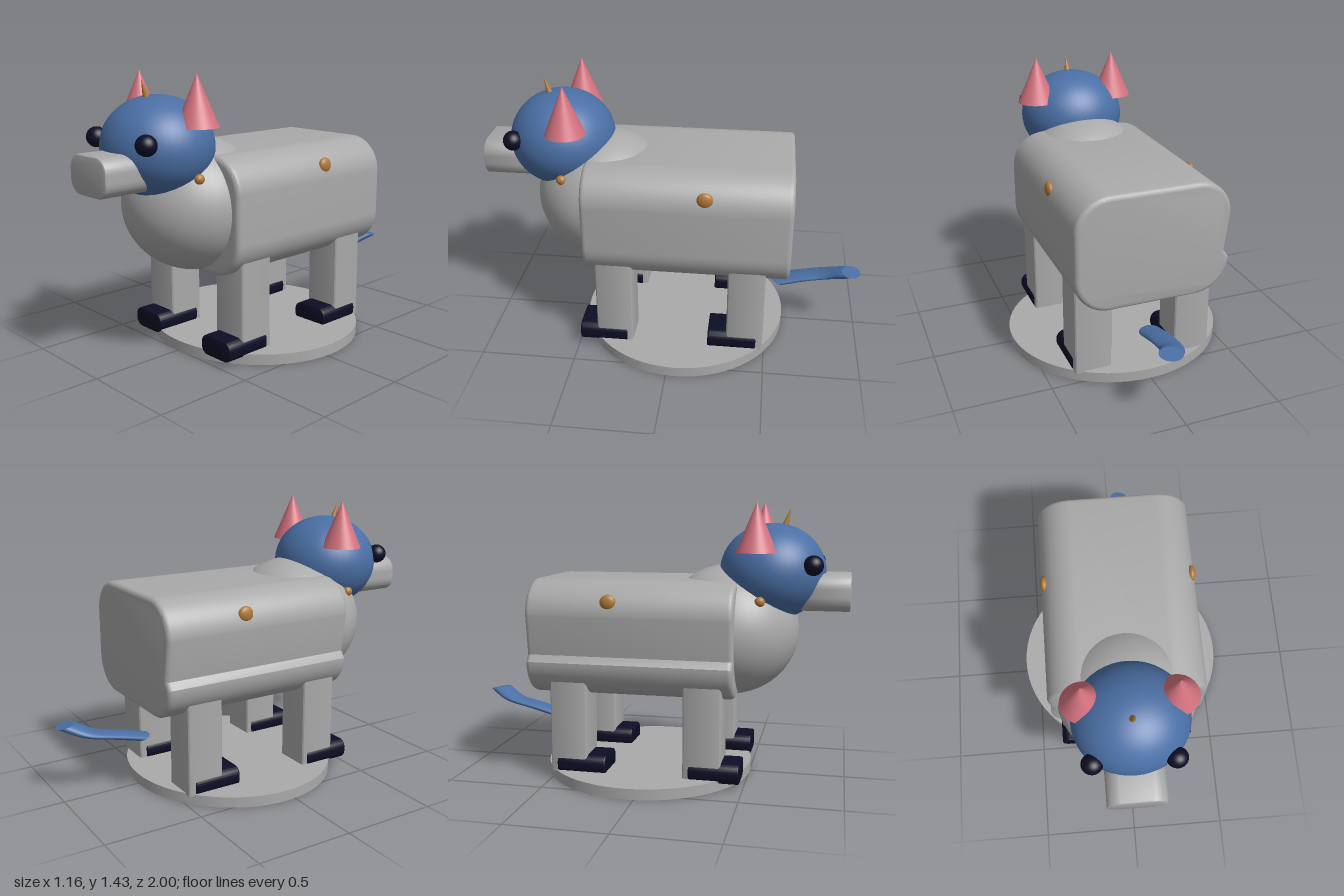
import * as THREE from 'three';
import { toCreasedNormals } from 'three/addons/utils/BufferGeometryUtils.js';

const mat = (name, color) => {
  const m = new THREE.MeshStandardMaterial({ color });
  m.name = name;
  return m;
};

// Rounded rectangle centred on the origin
function roundedRect(w, h, r) {
  const x = w / 2, y = h / 2, s = new THREE.Shape();
  s.moveTo(-x + r, -y);
  s.lineTo(x - r, -y);
  s.absarc(x - r, -y + r, r, -Math.PI / 2, 0);
  s.absarc(x - r, y - r, r, 0, Math.PI / 2);
  s.absarc(-x + r, y - r, r, Math.PI / 2, Math.PI);
  s.absarc(-x + r, -y + r, r, Math.PI, Math.PI * 1.5);
  return s;
}

// Extrusion centred on z, bevel kept inside the outline and depth
function prism(shape, depth, bevel) {
  const g = new THREE.ExtrudeGeometry(shape, {
    depth: depth - 2 * bevel, curveSegments: 12, bevelEnabled: bevel > 0,
    bevelThickness: bevel, bevelSize: bevel, bevelOffset: -bevel, bevelSegments: 4,
  });
  g.translate(0, 0, bevel - depth / 2);
  return toCreasedNormals(g, 0.6);
}

export function createModel() {
  const group = new THREE.Group();
  const gray = mat('gray', 0xaaaaaa);
  const blue = mat('blue', 0x4a6fa5);
  const pink = mat('pink', 0xd4727f);
  const brown = mat('brown', 0xb07a3a);
  const dark = mat('dark navy', 0x0d0d26);

  const add = (name, geometry, material, x, y, z) => {
    const m = new THREE.Mesh(geometry, material);
    m.name = name;
    m.position.set(x, y, z);
    group.add(m);
    return m;
  };
  const ball = (name, material, x, y, z, rx, ry, rz) => {
    const m = add(name, new THREE.SphereGeometry(1, 48, 32), material, x, y, z);
    m.scale.set(rx, ry, rz);
    return m;
  };

  // Base disc, slightly oval
  const base = add('base', new THREE.CylinderGeometry(0.578, 0.578, 0.055, 64), gray, 0, 0.0275, -0.045);
  base.scale.z = 0.95;

  // Body: rounded barrel with a lip along its right flank
  const W = 0.405, B = 0.445, T = 1.04, r = 0.18;
  const body = new THREE.Shape();
  body.moveTo(-W + r, B);
  body.lineTo(W - r, B);
  body.absarc(W - r, B + r, r, -Math.PI / 2, 0);
  body.absarc(W - r, T - r, r, 0, Math.PI / 2);
  body.absarc(-W + r, T - r, r, Math.PI / 2, Math.PI);
  body.lineTo(-0.378, 0.66);
  body.lineTo(-W, B + r);
  body.absarc(-W + r, B + r, r, Math.PI, Math.PI * 1.5);
  add('body', prism(body, 1.06, 0.025), gray, 0, 0, -0.08);

  // Chest and head
  ball('chest', gray, 0, 0.771, 0.385, 0.367, 0.341, 0.36);
  ball('head', blue, 0, 1.077, 0.603, 0.288, 0.248, 0.272);
  add('snout', prism(roundedRect(0.29, 0.19, 0.075), 0.3, 0.008), gray, 0, 0.98, 0.85);

  // Horn, leaning forward
  const horn = add('horn', new THREE.ConeGeometry(0.02, 0.11, 24), brown, 0, 1.348, 0.673);
  horn.rotation.x = 0.3;

  for (const s of [-1, 1]) {
    ball('eye', dark, s * 0.197, 1.122, 0.815, 0.053, 0.05, 0.05);
    const ear = add('ear', new THREE.ConeGeometry(0.108, 0.247, 40), pink, s * 0.222, 1.307, 0.538);
    ear.scale.z = 0.94;
    ball('flankSpot', brown, s * 0.385, 0.937, -0.175, 0.022, 0.04, 0.041);
    ball('chestSpot', brown, s * 0.262, 0.945, 0.563, 0.022, 0.025, 0.026);

    // Legs and feet, front and back
    for (const [legZ, footZ, name] of [[0.297, 0.358, 'front'], [-0.395, -0.328, 'back']]) {
      const leg = prism(roundedRect(0.198, 0.194, 0.015), 0.475, 0);
      leg.rotateX(-Math.PI / 2);
      add(name + 'Leg', leg, gray, s * 0.273, 0.285, legZ);
      add(name + 'Foot', prism(roundedRect(0.213, 0.106, 0.045), 0.256, 0.008), dark, s * 0.273, 0.086, footZ);
    }
  }

  // Tail: curved tube with end caps, flattened vertically
  const tail = new THREE.Group();
  tail.name = 'tail';
  tail.position.y = 0.261;
  tail.scale.y = 0.27;
  group.add(tail);
  const path = new THREE.CatmullRomCurve3([
    [0, 0, -0.568], [0, 0.13, -0.7], [0.012, 0.25, -0.84], [0.067, 0.43, -0.95],
  ].map((p) => new THREE.Vector3(...p)));
  const tube = new THREE.Mesh(new THREE.TubeGeometry(path, 32, 0.058, 24), blue);
  tube.name = 'tailTube';
  tail.add(tube);
  for (const t of [0, 1]) {
    const cap = new THREE.Mesh(new THREE.CircleGeometry(0.058, 24), blue);
    cap.name = 'tailCap';
    const p = path.getPoint(t);
    cap.position.copy(p);
    cap.lookAt(p.add(path.getTangent(t).multiplyScalar(t ? 1 : -1)));
    tail.add(cap);
  }
  return group;
}
